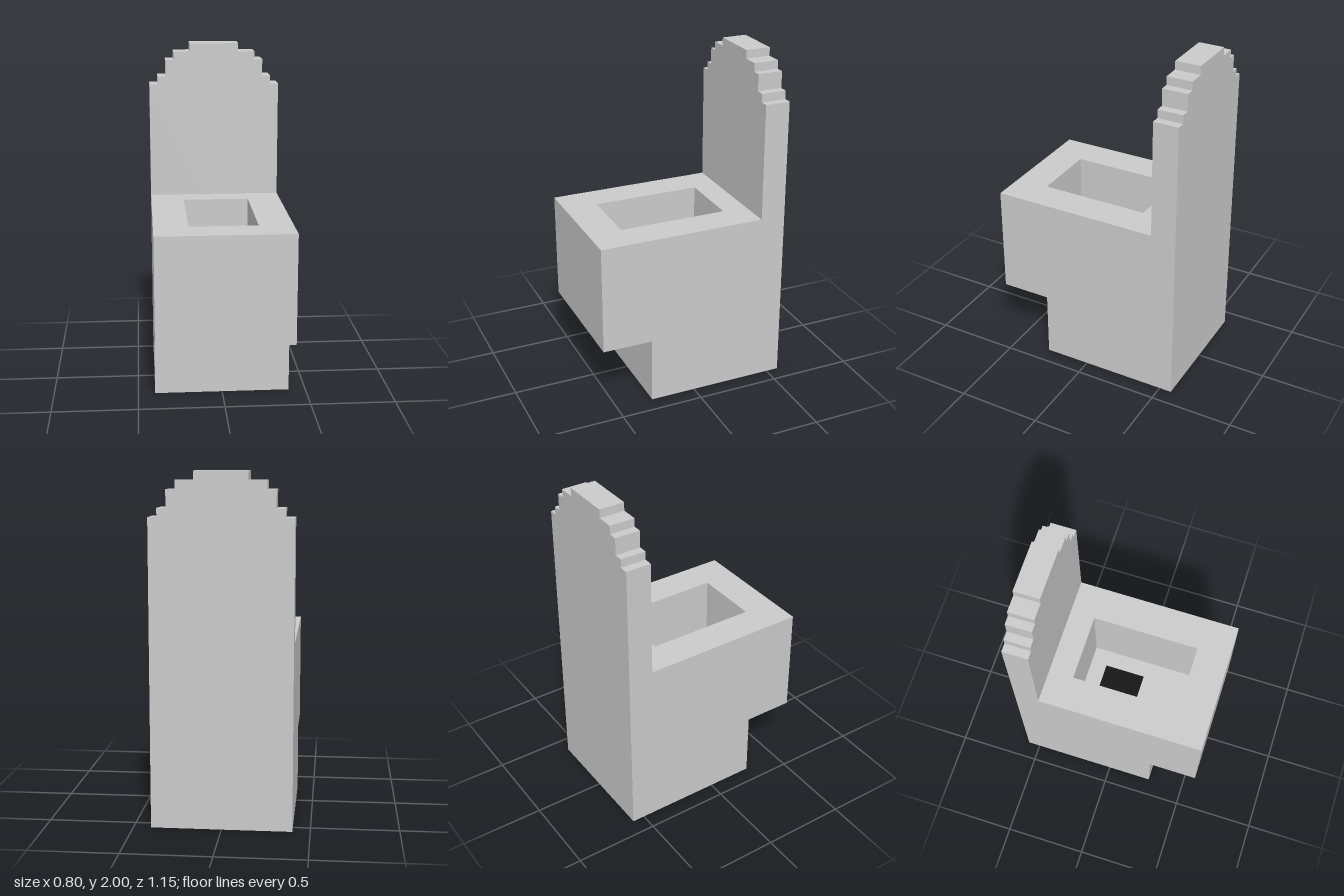
import * as THREE from 'three';

const grey = new THREE.MeshStandardMaterial({ color: 0xcccccc, flatShading: true });
const black = new THREE.MeshStandardMaterial({ color: 0x0d0d0d, flatShading: true });

const HALF_W = 0.4;
const BACK = -0.575, PANEL_FRONT = -0.425, BASE_FRONT = 0.275, FRONT = 0.575;
const BASE_TOP = 0.4, FLOOR = 0.55, SEAT_TOP = 1.05;

function add(group, name, geometry, material = grey) {
  const mesh = new THREE.Mesh(geometry, material);
  mesh.name = name;
  group.add(mesh);
}

// Box centred on x, given by its y and z limits
function block(halfW, y0, y1, z0, z1) {
  return new THREE.BoxGeometry(2 * halfW, y1 - y0, z1 - z0)
    .translate(0, (y0 + y1) / 2, (z0 + z1) / 2);
}

export function createModel() {
  const model = new THREE.Group();
  model.name = 'toilet';

  // Back panel with a stepped, arch-like top: [half width, top of step]
  const steps = [[0.4, 1.75], [0.35, 1.8], [0.3, 1.9], [0.25, 1.95], [0.15, 2]];
  const right = [[HALF_W, 0]];
  steps.forEach(([x, y], i) => {
    right.push([x, y]);
    if (i < steps.length - 1) right.push([steps[i + 1][0], y]);
  });
  const left = right.map(([x, y]) => [-x, y]).reverse();
  const outline = [...right, ...left].map(([x, y]) => new THREE.Vector2(x, y));
  add(model, 'backPanel', new THREE.ExtrudeGeometry(new THREE.Shape(outline), {
    depth: PANEL_FRONT - BACK, bevelEnabled: false,
  }).translate(0, 0, BACK));

  // Foot and the overhanging underside of the bowl
  add(model, 'base', block(HALF_W, 0, BASE_TOP, PANEL_FRONT, BASE_FRONT));
  add(model, 'bowlFloor', block(HALF_W, BASE_TOP, FLOOR, PANEL_FRONT, FRONT));

  // Bowl walls around the rectangular opening, drawn in x and -z, extruded up
  const rect = (Type, halfW, z0, z1) => new Type([
    new THREE.Vector2(-halfW, -z1), new THREE.Vector2(halfW, -z1),
    new THREE.Vector2(halfW, -z0), new THREE.Vector2(-halfW, -z0),
  ]);
  const rim = rect(THREE.Shape, HALF_W, PANEL_FRONT, FRONT);
  rim.holes.push(rect(THREE.Path, 0.2, -0.275, 0.375));
  add(model, 'bowlWalls', new THREE.ExtrudeGeometry(rim, {
    depth: SEAT_TOP - FLOOR, bevelEnabled: false,
  }).rotateX(-Math.PI / 2).translate(0, FLOOR, 0));

  // Dark drain on the bowl floor
  add(model, 'drain', block(0.1, FLOOR - 0.01, FLOOR + 0.005, -0.175, 0.075), black);

  return model;
}
